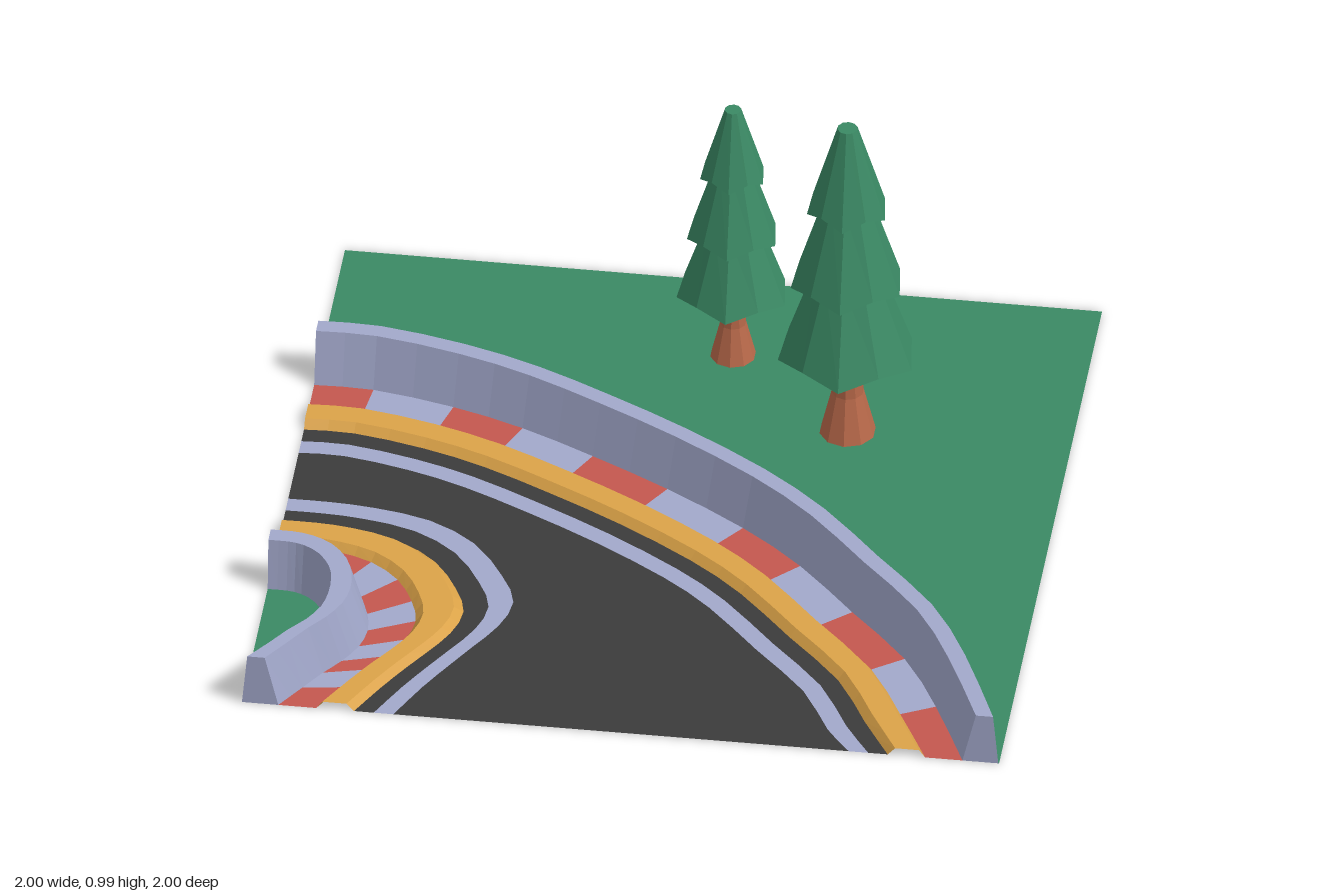
import * as THREE from 'three';

const mat = (name, color) => {
  const m = new THREE.MeshStandardMaterial({ color, side: THREE.DoubleSide });
  m.name = name;
  return m;
};

const SEGMENTS = 11; // kerb blocks along each side of the road
const STEPS = 2; // subdivisions per block

const curveOf = pts => new THREE.CatmullRomCurve3(
  pts.map(([x, z]) => new THREE.Vector3(x, 0, z)), false, 'catmullrom', 0.5);

// Middle of the kerb on the outside of the bend
const OUTER_KERB = [[-1, -.35], [-.85, -.35], [-.64, -.305], [-.455, -.24], [-.26, -.145], [-.05, -.03],
  [.165, .11], [.33, .25], [.49, .43], [.65, .61], [.755, .8], [.85, 1]];
// Grass edge and road-line edge on the inside of the bend
const INNER_GRASS = [[-1, .5], [-.95, .5], [-.91, .51], [-.87, .54], [-.84, .59], [-.83, .64],
  [-.83, .7], [-.84, .76], [-.87, .82], [-.91, .87], [-.95, .93], [-1, 1]];
const INNER_ROAD = [[-1, .1], [-.89, .1], [-.77, .11], [-.62, .145], [-.49, .23], [-.4, .36],
  [-.355, .47], [-.38, .58], [-.435, .68], [-.48, .76], [-.54, .87], [-.6, 1]];

// Shift a row of points sideways; the ends slide along the tile border
function offset(pts, d) {
  return pts.map(([x, z], i) => {
    if (i === 0) return [x, z - d];
    if (i === pts.length - 1) return [x + d, z];
    const tx = pts[i + 1][0] - pts[i - 1][0], tz = pts[i + 1][1] - pts[i - 1][1];
    const l = Math.hypot(tx, tz);
    return [x + d * tz / l, z - d * tx / l];
  });
}

// Sweep a profile of [fraction from grass to road, height] along one side
function sweep(side, profile, keep = () => true, caps = false) {
  const pos = [];
  const at = ([f, y], k) => {
    const t = k / (SEGMENTS * STEPS);
    const p = side.grass.getPoint(t).lerp(side.road.getPoint(t), f);
    return [p.x, y, p.z];
  };
  const tri = (a, b, c) => pos.push(...a, ...(side.flip ? c : b), ...(side.flip ? b : c));
  for (let k = 0; k < SEGMENTS * STEPS; k++) {
    if (!keep(Math.floor(k / STEPS))) continue;
    for (let j = 0; j < profile.length - 1; j++) {
      const a = at(profile[j], k), b = at(profile[j + 1], k);
      const c = at(profile[j], k + 1), d = at(profile[j + 1], k + 1);
      tri(a, b, c);
      tri(b, d, c);
    }
  }
  if (caps) {
    for (const k of [0, SEGMENTS * STEPS]) {
      const p = profile.map(q => at(q, k));
      if (k) p.reverse();
      for (let j = 1; j < p.length - 1; j++) tri(p[0], p[j + 1], p[j]);
    }
  }
  const g = new THREE.BufferGeometry();
  g.setAttribute('position', new THREE.Float32BufferAttribute(pos, 3));
  g.computeVertexNormals();
  return g;
}

// Flat ground piece from [x, z] points
function ground(pts) {
  const shape = new THREE.Shape(pts.map(([x, z]) => new THREE.Vector2(x, -z)));
  return new THREE.ShapeGeometry(shape).rotateX(-Math.PI / 2);
}

// One layer of branches with a ragged rim and a hollow underside
function tierGeometry(y0, r0, y1, r1, closed) {
  const profile = [[r0 * .45, y0 + .04], [r0, y0], [r1, y1]];
  if (closed) profile.push([0, y1]);
  const sides = 10;
  let g = new THREE.LatheGeometry(profile.map(p => new THREE.Vector2(...p)), sides);
  const p = g.attributes.position;
  for (let i = 0; i < p.count; i++) {
    if (i % profile.length !== 1) continue;
    const step = Math.floor(i / profile.length) % sides;
    const s = step % 2 ? .95 : 1.03;
    p.setXYZ(i, p.getX(i) * s, p.getY(i) + (step % 2 ? .018 : -.006), p.getZ(i) * s);
  }
  g = g.toNonIndexed();
  g.computeVertexNormals();
  return g;
}

export function createModel() {
  const root = new THREE.Group();
  root.name = 'roadCornerTile';
  const green = mat('green', 0x3a8964), pale = mat('paleGrey', 0xa2a8cb), asphalt = mat('asphalt', 0x3b3b3b);
  const yellow = mat('yellow', 0xdca348), red = mat('red', 0xc4574f), bark = mat('bark', 0xb9694a);
  const add = (name, geometry, material, parent = root) => {
    const m = new THREE.Mesh(geometry, material);
    m.name = name;
    parent.add(m);
    return m;
  };

  const outer = { name: 'outer', flip: false, grass: curveOf(offset(OUTER_KERB, .148)), road: curveOf(offset(OUTER_KERB, -.247)) };
  const inner = { name: 'inner', flip: true, grass: curveOf(INNER_GRASS), road: curveOf(INNER_ROAD) };

  // Walls, kerbs and lines on both sides of the road
  for (const side of [outer, inner]) {
    const g = new THREE.Group();
    g.name = side.name + 'Edge';
    root.add(g);
    const flat = (a, b, keep) => sweep(side, [[a, 0], [b, 0]], keep);
    add('barrierWall', sweep(side, [[0, 0], [.035, .15], [.15, .15], [.24, 0]], undefined, true), pale, g);
    add('redKerbBlocks', flat(.24, .49, i => i % 2 === 0), red, g);
    add('paleKerbBlocks', flat(.24, .49, i => i % 2 === 1), pale, g);
    add('yellowKerb', sweep(side, [[.49, 0], [.53, .022], [.69, .022], [.74, 0]]), yellow, g);
    add('roadMargin', flat(.74, .87), asphalt, g);
    add('edgeLine', flat(.87, 1), pale, g);
  }

  // Road surface and grass
  const row = curve => curve.getPoints(SEGMENTS * STEPS).map(p => [p.x, p.z]);
  add('roadSurface', ground([...row(outer.road), ...row(inner.road).reverse()]), asphalt);
  add('outerGrass', ground([...row(outer.grass), [1, 1], [1, -1], [-1, -1]]), green);
  add('innerGrass', ground(row(inner.grass)), green);

  // Trees
  for (const [x, z, s] of [[.41, -.395, 1], [.068, -.685, .81]]) {
    const tree = new THREE.Group();
    tree.name = 'tree';
    tree.position.set(x, 0, z);
    tree.scale.setScalar(s);
    root.add(tree);
    const trunk = [[0, -.001], [.075, -.001], [.043, .13], [.038, .3]].map(p => new THREE.Vector2(...p));
    const trunkGeometry = new THREE.LatheGeometry(trunk, 10).toNonIndexed();
    trunkGeometry.computeVertexNormals();
    add('trunk', trunkGeometry, bark, tree);
    add('lowerBranches', tierGeometry(.26, .18, .53, .085), green, tree);
    add('middleBranches', tierGeometry(.49, .147, .76, .06), green, tree);
    add('topBranches', tierGeometry(.725, .105, .985, .027, true), green, tree);
  }
  return root;
}
